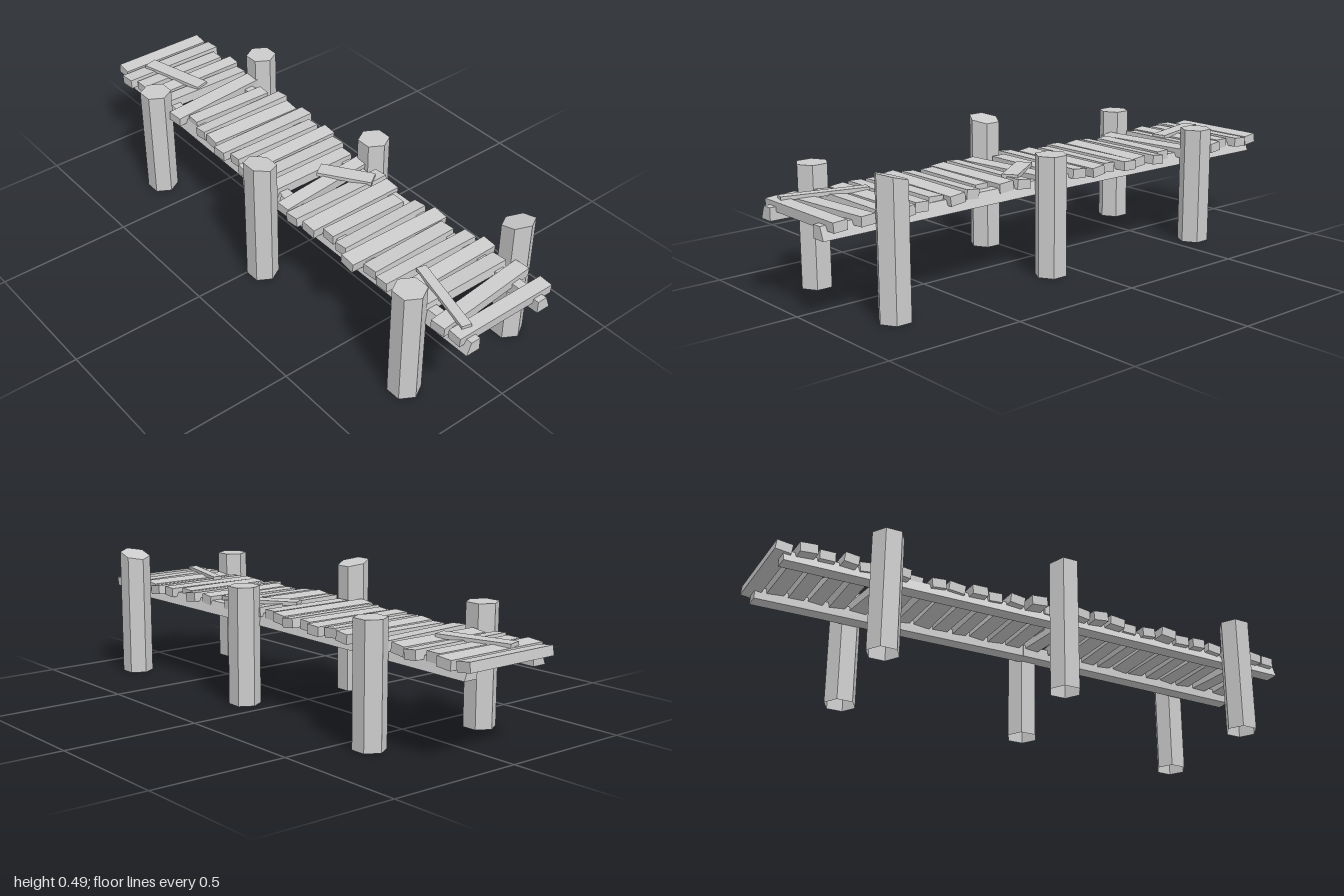
import * as THREE from 'three';

const mat = new THREE.MeshStandardMaterial({ color: 0xcccccc, flatShading: true, side: THREE.DoubleSide });

function add(parent, geo, name, x = 0, y = 0, z = 0) {
  const m = new THREE.Mesh(geo, mat);
  m.name = name;
  m.position.set(x, y, z);
  parent.add(m);
  return m;
}

// Hexagonal post, open underneath, with the top sheared along x or z
function addPost(parent, x, z, h, slopeX = 0, slopeZ = 0) {
  const r = 0.0575;
  const post = new THREE.Group();
  post.name = 'post';
  post.position.set(x, 0, z);
  const sides = new THREE.CylinderGeometry(r, r, h, 6, 1, true).translate(0, h / 2, 0);
  const top = new THREE.CircleGeometry(r, 6, Math.PI / 2).rotateX(-Math.PI / 2).translate(0, h, 0);
  for (const g of [sides, top]) {
    const p = g.attributes.position;
    for (let i = 0; i < p.count; i++) {
      if (p.getY(i) > h / 2) p.setY(i, h + slopeX * p.getX(i) + slopeZ * p.getZ(i));
    }
    g.computeVertexNormals();
  }
  add(post, sides, 'postSides');
  add(post, top, 'postTop');
  parent.add(post);
}

// Beam with a sloped outer side, running from z0 back to z1 while drifting from x0 to x1
function beamGeometry(side, z0, z1, x0, x1) {
  const section = [[-0.027, 0.285], [0.027, 0.285], [0.01, 0.33], [-0.027, 0.33]];
  const shape = new THREE.Shape(section.map(([x, y]) => new THREE.Vector2(x * side, y)));
  const g = new THREE.ExtrudeGeometry(shape, { depth: z0 - z1, bevelEnabled: false }).translate(0, 0, z1);
  const p = g.attributes.position;
  for (let i = 0; i < p.count; i++) {
    const t = (z0 - p.getZ(i)) / (z0 - z1);
    p.setX(i, p.getX(i) + x0 + (x1 - x0) * t);
  }
  g.computeVertexNormals();
  return g;
}

export function createModel() {
  const model = new THREE.Group();
  model.name = 'pier';

  // Posts: three pairs, two of the tops cut at a slant
  addPost(model, -0.23, 0.78, 0.43);
  addPost(model, 0.234, 0.787, 0.467, 0, 0.29);
  addPost(model, -0.24, 0.03, 0.48, -0.21);
  addPost(model, 0.208, 0.105, 0.43);
  addPost(model, -0.23, -0.635, 0.43);
  addPost(model, 0.237, -0.6, 0.43);

  // Long beams under the deck, two lengths per side
  add(model, beamGeometry(-1, 1, 0.06, -0.162, -0.165), 'leftFrontBeam');
  add(model, beamGeometry(-1, 0.1, -0.965, -0.16, -0.14), 'leftBackBeam');
  add(model, beamGeometry(1, 1, 0.06, 0.147, 0.14), 'rightFrontBeam');
  add(model, beamGeometry(1, 0.1, -0.965, 0.14, 0.165), 'rightBackBeam');

  // Deck planks from back to front, uneven ends in hundredths of a unit
  const leftEnds = [17, 20, 18, 20, 17, 20, 16, 18, 18, 20, 18, 20, 23, 18, 22, 23, 22, 19, 20, 23, 20, 21, 20, 19, 21, 20];
  const rightEnds = [20, 21, 18, 21, 19, 20, 17, 21, 19, 21, 18, 20, 18, 16, 17, 17, 16, 12, 16, 18, 15, 18, 20, 17, 20, 20];
  const skewed = [5, 14, 24];
  let z = -0.967;
  leftEnds.forEach((left, i) => {
    const x0 = -left / 100;
    const x1 = rightEnds[i] / 100;
    const isSkewed = skewed.includes(i);
    // Skewed planks leave wider gaps around them
    if (i > 0) z += 0.0732 + (isSkewed ? 0.02 : 0) + (skewed.includes(i - 1) ? 0.01 : 0);
    const depth = 0.056 + 0.005 * Math.sin(i * 1.7);
    const plank = add(model, new THREE.BoxGeometry(x1 - x0, 0.034, depth), 'plank', (x0 + x1) / 2, 0.331, z);
    plank.rotation.set(0.12 * Math.cos(i * 2.3), isSkewed ? 0.09 : 0.015 * Math.sin(i * 2.9), 0);
  });

  // Loose boards lying on the deck: x, z, length, width, yaw
  [
    [-0.04, -0.79, 0.27, 0.055, 0.26],
    [0.06, 0.13, 0.2, 0.058, 0.6],
    [-0.112, 0.81, 0.3, 0.035, -0.26],
  ].forEach(([x, zMid, length, width, yaw]) => {
    const board = add(model, new THREE.BoxGeometry(width, 0.014, length), 'looseBoard', x, 0.352, zMid);
    board.rotation.y = yaw;
  });

  return model;
}
